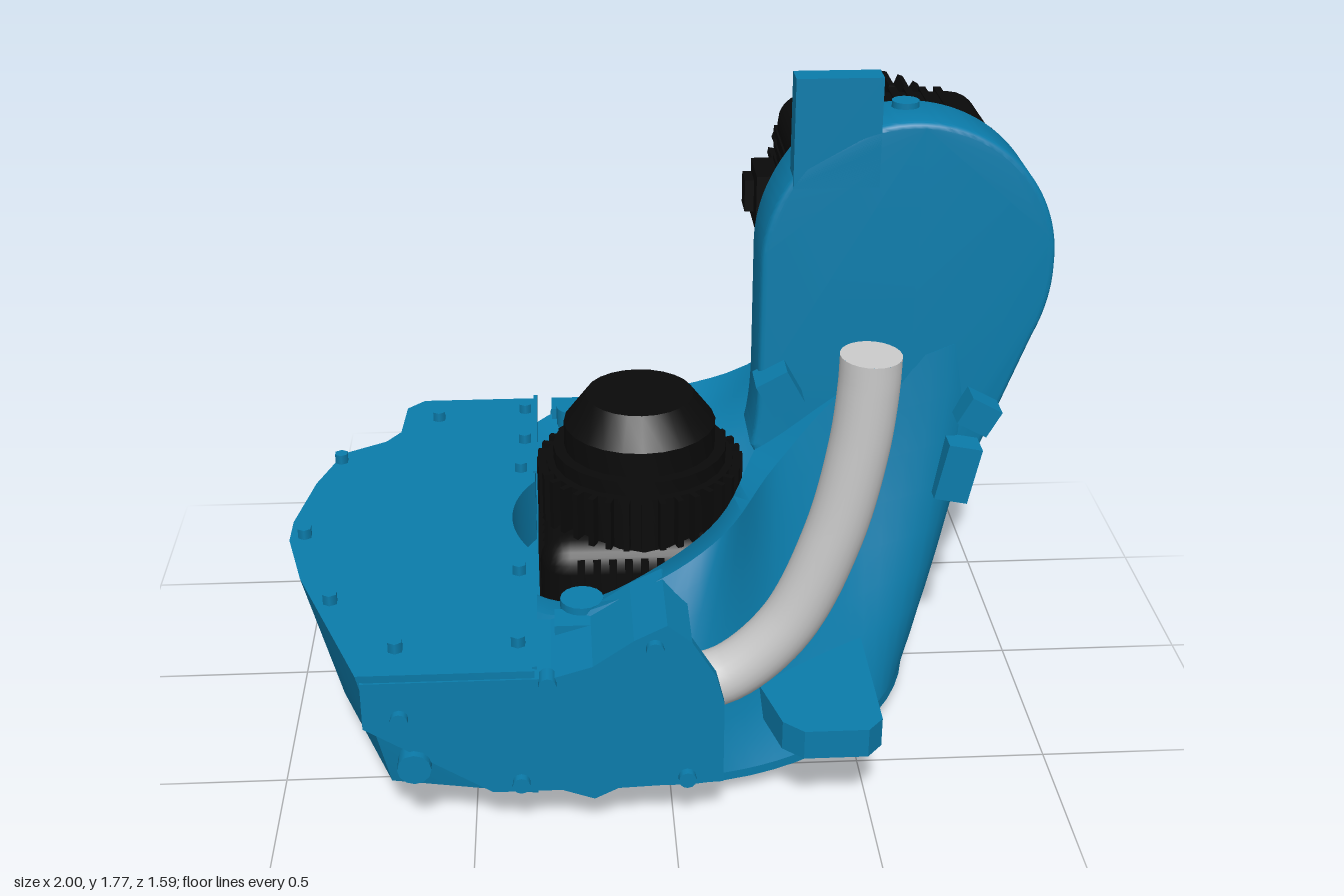
import * as THREE from 'three';
import { toCreasedNormals } from 'three/addons/utils/BufferGeometryUtils.js';
import { RoundedBoxGeometry } from 'three/addons/geometries/RoundedBoxGeometry.js';

const blue = new THREE.MeshStandardMaterial({ color: 0x0b7cab });
const black = new THREE.MeshStandardMaterial({ color: 0x0a0a0a });
const grey = new THREE.MeshStandardMaterial({ color: 0xcccccc });
const V = (x, y, z) => new THREE.Vector3(x, y, z);

function add(parent, name, geo, mat, x = 0, y = 0, z = 0) {
  const m = new THREE.Mesh(geo, mat);
  m.name = name;
  m.position.set(x, y, z);
  parent.add(m);
  return m;
}
const box = (w, h, d) => new THREE.BoxGeometry(w, h, d);
const rod = (r, h, sides = 16) => new THREE.CylinderGeometry(r, r, h, sides);
const polygon = (pts) => new THREE.Shape(pts.map(([x, y]) => new THREE.Vector2(x, y)));
const plate = (pts, depth) => new THREE.ExtrudeGeometry(polygon(pts), { depth, bevelEnabled: false });

// Hollow casting: round base, outer wall up to a sloping rim, inner wall down to the pocket floor
function castingGeometry() {
  const outer = [
    [.975, 1.2, -.02], [.92, 1.07, -.08], [.79, .985, -.22], [.57, .86, -.48],
    [.25, .58, -.7], [-.05, .5, -.72], [-.3, .47, -.66], [-.42, .47, -.35],
    [-.43, .47, 0], [-.42, .47, .35], [-.28, .48, .5], [-.04, .6, .55],
    [.13, .71, .52], [.29, .78, .28], [.5, .95, .165], [.8, 1.08, .16]];
  const inner = [
    [.78, 1.1, -.03], [.77, .97, -.09], [.69, .92, -.22], [.48, .79, -.46],
    [.22, .55, -.64], [-.05, .48, -.67], [-.25, .46, -.61], [-.39, .46, -.32],
    [-.41, .46, 0], [-.39, .46, .3], [-.24, .48, .44], [-.03, .59, .46],
    [.13, .69, .4], [.25, .77, .16], [.36, .87, 0], [.56, .98, -.025]];
  const ring = (pts) => new THREE.CatmullRomCurve3(pts.map((p) => V(...p)), true, 'centripetal');
  const rimOut = ring(outer), rimIn = ring(inner);
  const N = 96, K = 8, pos = [], idx = [];
  const rows = 2 * K + 4;
  for (let i = 0; i <= N; i++) {
    const u = i / N, a = u * Math.PI * 2;
    const A = V(.69 * Math.cos(a), .11, -.69 * Math.sin(a));
    const E = V(-.04 + .38 * Math.cos(a), .3, -.38 * Math.sin(a));
    const C = rimOut.getPoint(u), D = rimIn.getPoint(u);
    // The wall bulges, except below the front of the arm, where it is hollow
    const c = Math.max(0, Math.cos(a));
    const k = .25 * c * c + 1.4 * c * Math.max(0, -Math.sin(a));
    const low = A.clone().lerp(C, k).setY(A.y + .4 * (C.y - A.y));
    const wallOut = new THREE.QuadraticBezierCurve3(A, low, C);
    const wallIn = new THREE.QuadraticBezierCurve3(D, D.clone().lerp(E, .7).setY(E.y + .12), E);
    const column = [V(0, .11, 0), ...wallOut.getPoints(K), ...wallIn.getPoints(K), V(-.04, .3, 0)];
    column.forEach((p) => pos.push(p.x, p.y, p.z));
  }
  for (let i = 0; i < N; i++) for (let j = 0; j < rows - 1; j++) {
    const p = i * rows + j, q = p + rows;
    if (j > 0) idx.push(p, q, p + 1);
    if (j < rows - 2) idx.push(q, q + 1, p + 1);
  }
  const g = new THREE.BufferGeometry();
  g.setAttribute('position', new THREE.Float32BufferAttribute(pos, 3));
  g.setIndex(idx);
  return toCreasedNormals(g, .7);
}

// Motor along +z, flange at z = 0: square body, round finned collar, stepped cap
function makeMotor(name) {
  const g = new THREE.Group();
  g.name = name;
  add(g, 'motorBody', new RoundedBoxGeometry(.55, .55, .44, 3, .08), black, 0, 0, .22);
  add(g, 'motorFlange', new RoundedBoxGeometry(.56, .56, .15, 3, .07), black, 0, 0, .065);
  const cap = new THREE.LatheGeometry([[.255, .4], [.255, .57], [.235, .57], [.235, .61], [.205, .61],
    [.205, .68], [.145, .76], [0, .76]].map(([r, y]) => new THREE.Vector2(r, y)), 24);
  add(g, 'motorCap', toCreasedNormals(cap.rotateX(Math.PI / 2), .5), black);
  // Ribs along the four sides
  for (let s = 0; s < 4; s++) {
    const side = new THREE.Group();
    side.name = 'coolingRibs';
    side.rotation.z = s * Math.PI / 2;
    for (let i = -4; i <= 4; i++) add(side, 'rib', box(.02, .02, .3), black, i * .042, .27, .25);
    g.add(side);
  }
  // Fins around the collar
  for (let i = 0; i < 36; i++) {
    const a = i / 36 * Math.PI * 2;
    const fin = add(g, 'collarFin', box(.05, .016, .14), black, .255 * Math.cos(a), .255 * Math.sin(a), .5);
    fin.rotation.z = a;
  }
  add(g, 'cableSocket', box(.16, .1, .16), black, 0, .29, .33);
  add(g, 'cablePlug', box(.09, .06, .08), black, 0, .335, .36);
  return g;
}

export function createModel() {
  const model = new THREE.Group();
  model.name = 'turretBase';

  // Base
  add(model, 'baseDisc', rod(.69, .055, 64), blue, 0, .0875, 0).scale.z = .95;
  add(model, 'stopTab', box(.06, .13, .1), blue, .66, .065, 0);
  add(model, 'casting', castingGeometry(), blue);
  add(model, 'pocketBoss', rod(.08, .14), blue, -.05, .35, .32);
  add(model, 'pocketBolt', rod(.03, .03, 6), blue, -.05, .43, .32);

  // Side housing, narrowing towards the bottom, scalloped around the pocket
  const s = polygon([[-.34, .74], [-.68, .74], [-.73, .69], [-.74, .53], [-.78, .47], [-.9, .4], [-.96, .22],
    [-1, 0], [-1, -.1], [-.95, -.3], [-.77, -.76], [-.34, -.76], [-.34, -.2]]);
  s.absarc(-.05, 0, .352, Math.PI + .605, Math.PI - .605, true);
  const housing = new THREE.ExtrudeGeometry(s, { depth: .36, bevelEnabled: false, curveSegments: 16 });
  housing.rotateX(-Math.PI / 2).translate(0, .13, 0);
  const hp = housing.attributes.position;
  for (let i = 0; i < hp.count; i++) {
    const x = hp.getX(i), z = hp.getZ(i);
    if (hp.getY(i) < .3 && x < -.34) {
      hp.setX(i, -.34 + (x + .34) * .85);
      if (x < -.7 && z > .7) hp.setZ(i, .69);
    }
  }
  add(model, 'sideHousing', toCreasedNormals(housing, .4), blue);
  [-.5, .5].forEach((z) => add(model, 'coverSeam', box(.012, .008, .5), blue, -.34, .492, z));
  add(model, 'cornerFoot', new RoundedBoxGeometry(.18, .1, .2, 2, .03), blue, -.79, .21, -.55);
  add(model, 'cornerBolt', rod(.06, .04), blue, -.82, .26, -.55);

  // Front housing, with a cover that reaches past it in front of the pipe
  const left = [[-.76, .47], [-.3, .47], [-.2, .5], [-.1, .57], [-.02, .61], [.04, .56]];
  const bottom = [[-.14, .14], [-.2, .11], [-.28, .14]];
  add(model, 'frontHousing', plate([...left, [.04, .14], ...bottom, [-.45, .14], [-.76, .34]], .24), blue, 0, 0, .5);
  add(model, 'frontCover', plate([...left, [.1, .46], [.12, .38], [.12, .15], ...bottom, [-.45, .14],
    [-.76, .34]], .025), blue, 0, 0, .74);

  // Upright arm
  const armShape = polygon([[.64, .55], [.8, .68], [.945, 1.08]]);
  armShape.quadraticCurveTo(.985, 1.17, .985, 1.26);
  armShape.absarc(.625, 1.28, .36, 0, Math.PI * .62, false);
  armShape.lineTo(.36, 1.54);
  armShape.quadraticCurveTo(.265, 1.42, .265, 1.28);
  armShape.lineTo(.265, .97);
  armShape.quadraticCurveTo(.265, .85, .25, .78);
  armShape.lineTo(.38, .55);
  const arm = new THREE.ExtrudeGeometry(armShape, {
    depth: .17, bevelThickness: .015, bevelSize: .015, bevelSegments: 3, curveSegments: 24 });
  add(model, 'arm', toCreasedNormals(arm, .6), blue, 0, 0, -.015);
  add(model, 'armLug', box(.215, .28, .07), blue, .4325, 1.63, .135);
  add(model, 'armLugRib', box(.05, .12, .1), blue, .52, 1.59, .06);
  add(model, 'armPlug', rod(.035, .04), blue, .62, 1.65, .03);

  // Clamps on the arm front: x, y, width, height, tilt
  [[.82, .88, .09, .08, -.5], [.775, .715, .09, .16, -.2], [.3, .96, .09, .1, .5]].forEach(([x, y, w, h, r]) => {
    add(model, 'clamp', box(w, h, .1), blue, x, y, .195).rotation.z = r;
  });

  // Motors
  const armMotor = makeMotor('armMotor');
  armMotor.position.set(.625, 1.28, -.04);
  armMotor.rotation.set(0, Math.PI, -Math.PI / 2);
  model.add(armMotor);
  const turnMotor = makeMotor('turnMotor');
  turnMotor.position.set(-.05, .1, 0);
  turnMotor.rotation.x = -Math.PI / 2;
  model.add(turnMotor);

  // Cable pipe
  const path = new THREE.CatmullRomCurve3([V(.03, .365, .66), V(.15, .41, .66), V(.28, .55, .67),
    V(.38, .8, .685), V(.43, 1.04, .695), V(.445, 1.2, .7), V(.447, 1.28, .702)]);
  add(model, 'cablePipe', new THREE.TubeGeometry(path, 40, .072, 24), grey);
  const pipeEnd = add(model, 'pipeEnd', new THREE.CircleGeometry(.072, 24), grey, .447, 1.28, .702);
  pipeEnd.lookAt(path.getPoint(1).add(path.getTangent(1)));

  // Mounting feet front and back
  const foot = plate([[.2, .45], [.52, .35], [.52, .72], [.48, .765], [.32, .765], [.27, .72]], .08);
  add(model, 'backFoot', foot, blue, 0, .21, 0).rotation.x = -Math.PI / 2;
  add(model, 'frontFoot', foot, blue, 0, .29, 0).rotation.x = Math.PI / 2;

  // Bolted straps on the back
  [-.24, .145].forEach((x) => {
    add(model, 'backStrap', new RoundedBoxGeometry(.11, .34, .12, 2, .02), blue, x, .285, -.71);
    [.18, .4].forEach((y) => {
      add(model, 'strapBolt', rod(.022, .02, 12), blue, x, y, -.77).rotation.x = Math.PI / 2;
    });
  });

  // Bosses beside the pocket
  [-.62, .48].forEach((z) => {
    add(model, 'boss', rod(.055, .16), blue, -.22, .44, z);
    add(model, 'bossBlock', box(.14, .1, .08), blue, -.22, .45, z + Math.sign(z) * .06);
  });

  // Cover bolts on top (x, z) and on the front (x, y, radius)
  [[-.9, -.35], [-.63, -.61], [-.96, .08], [-.86, .42], [-.68, .65], [-.37, -.65], [-.37, -.45],
    [-.38, -.27], [-.38, .3], [-.38, .64]].forEach(([x, z]) => {
    add(model, 'topBolt', rod(.02, .03, 6), blue, x, .503, z);
  });
  [[-.67, .37, .022], [-.64, .23, .042], [-.38, .17, .022], [-.31, .46, .022], [-.05, .55, .022],
    [.03, .17, .022]].forEach(([x, y, r]) => {
    add(model, 'frontBolt', rod(r, .05, 12), blue, x, y, .76).rotation.x = Math.PI / 2;
  });
  return model;
}
